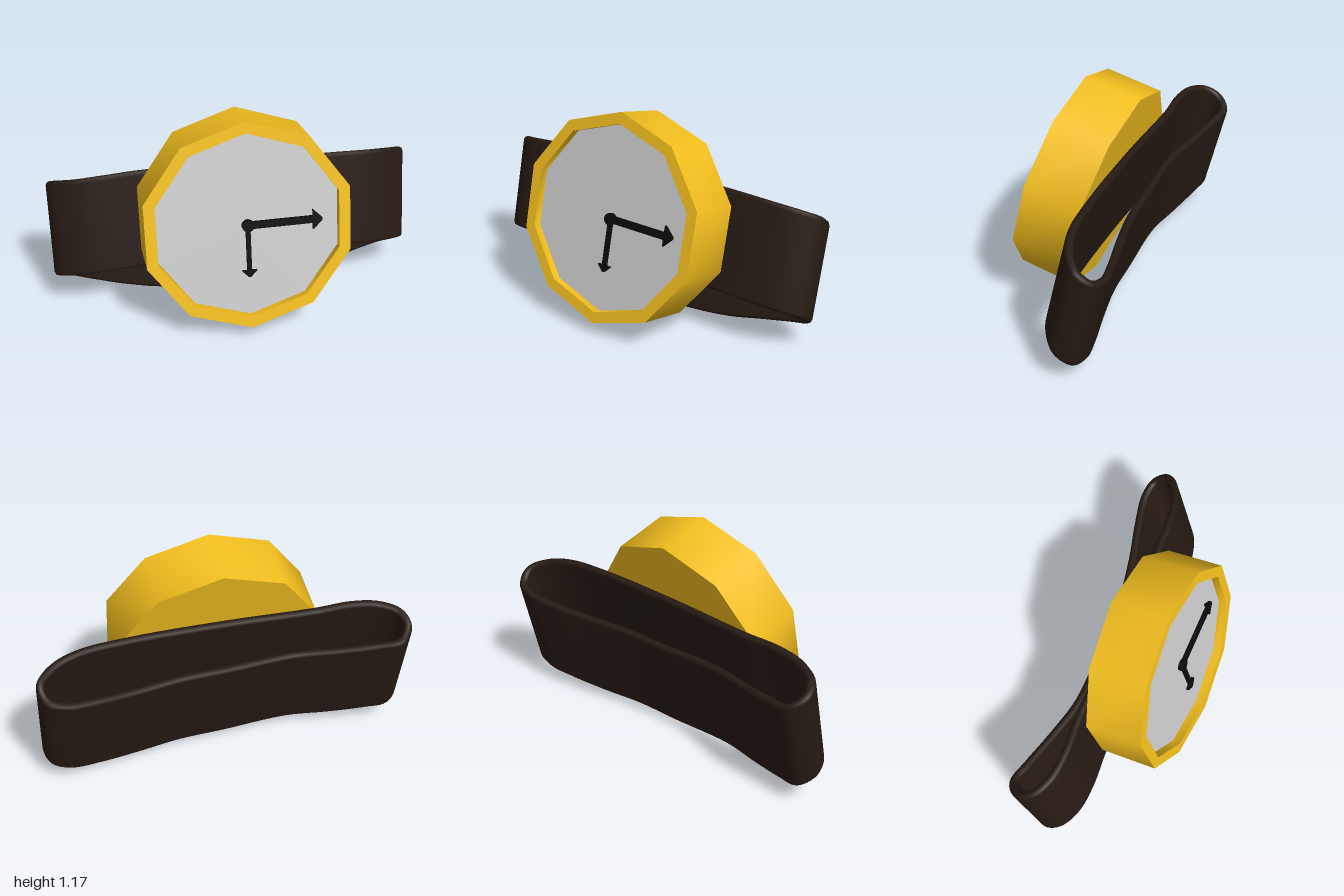
import * as THREE from 'three';
import { toCreasedNormals } from 'three/addons/utils/BufferGeometryUtils.js';

const SIDES = 10, R = 0.565, RIM = 0.503, HALF = 0.156, RECESS = 0.045;
const DIAL_Z = HALF - RECESS;

const gold = new THREE.MeshStandardMaterial({ color: 0xf2be1e });
const grey = new THREE.MeshStandardMaterial({ color: 0xcccccc });
const black = new THREE.MeshStandardMaterial({ color: 0x0a0a0a });
const leather = new THREE.MeshStandardMaterial({ color: 0x261a13 });

function addPart(parent, name, geometry, material) {
  const mesh = new THREE.Mesh(geometry, material);
  mesh.name = name;
  parent.add(mesh);
  return mesh;
}

// Ten-sided case with a recessed front, turned so its axis is z
function caseGeometry() {
  const profile = [[0, -HALF], [R, -HALF], [R, HALF], [RIM, HALF], [RIM, DIAL_Z]]
    .map(([x, y]) => new THREE.Vector2(x, y));
  const g = new THREE.LatheGeometry(profile, SIDES);
  g.rotateX(Math.PI / 2);
  return toCreasedNormals(g, 0.7);
}

// Flat arrow pointing along +x from the hub
function arrowGeometry(length, shaft, headLength, headWidth) {
  const neck = length - headLength;
  const half = [[0, shaft], [neck, shaft], [neck, headWidth], [length - 0.005, 0.006]];
  const points = [...half, ...half.map(([x, y]) => [x, -y]).reverse()];
  const shape = new THREE.Shape(points.map(([x, y]) => new THREE.Vector2(x, y)));
  return new THREE.ExtrudeGeometry(shape, { depth: 0.018, bevelEnabled: false });
}

// Closed band: a rounded section swept round a loop that dips at the back
function strapGeometry() {
  // x, height of the band's middle, z
  const path = [
    [0, -0.015, -0.18], [0.5, -0.015, -0.19], [0.75, -0.025, -0.21], [0.89, -0.04, -0.26],
    [0.97, -0.065, -0.34], [0.95, -0.105, -0.42], [0.86, -0.13, -0.448], [0.7, -0.16, -0.425],
    [0.5, -0.195, -0.38], [0.25, -0.21, -0.335], [0, -0.215, -0.32], [-0.37, -0.205, -0.305],
    [-0.6, -0.18, -0.345], [-0.8, -0.14, -0.385], [-0.92, -0.11, -0.4], [-0.975, -0.075, -0.33],
    [-0.95, -0.05, -0.25], [-0.85, -0.035, -0.192], [-0.7, -0.022, -0.175], [-0.5, -0.015, -0.188],
  ].map((p) => new THREE.Vector3(...p));
  const curve = new THREE.CatmullRomCurve3(path, true);

  // Section: offset across the thickness, offset along the width
  const t = 0.022, w = 0.272, steps = 4, section = [];
  for (const [side, start] of [[1, 0], [-1, Math.PI]]) {
    for (let i = 0; i <= steps; i++) {
      const a = start + (i / steps) * Math.PI;
      section.push([t * Math.cos(a), side * (w - t) + t * Math.sin(a)]);
    }
  }

  const rings = 120, n = section.length, positions = [], index = [];
  for (let i = 0; i < rings; i++) {
    const p = curve.getPoint(i / rings), tan = curve.getTangent(i / rings);
    const out = new THREE.Vector2(-tan.z, tan.x).normalize();
    section.forEach(([o, h], j) => {
      positions.push(p.x + out.x * o, p.y + h, p.z + out.y * o);
      const k = (j + 1) % n, next = ((i + 1) % rings) * n;
      const a = i * n + j, b = i * n + k, c = next + k, d = next + j;
      index.push(a, b, d, b, c, d);
    });
  }
  const g = new THREE.BufferGeometry();
  g.setAttribute('position', new THREE.Float32BufferAttribute(positions, 3));
  g.setIndex(index);
  g.computeVertexNormals();
  return g;
}

export function createModel() {
  const model = new THREE.Group();
  model.name = 'wristwatch';

  // Everything leans back together
  const watch = new THREE.Group();
  watch.name = 'watch';
  watch.position.set(0, 0.587, 0.105);
  watch.rotation.x = THREE.MathUtils.degToRad(-13);
  model.add(watch);

  const head = new THREE.Group();
  head.name = 'watchHead';
  head.position.x = 0.012;
  watch.add(head);

  addPart(head, 'case', caseGeometry(), gold);
  addPart(head, 'dial', new THREE.CircleGeometry(RIM, SIDES, Math.PI / 2), grey).position.z = DIAL_Z;

  // Hands and hub
  const minute = addPart(head, 'minuteHand', arrowGeometry(0.4, 0.019, 0.055, 0.055), black);
  minute.position.z = DIAL_Z;
  const hour = addPart(head, 'hourHand', arrowGeometry(0.29, 0.012, 0.04, 0.04), black);
  hour.rotation.z = -Math.PI / 2;
  hour.position.z = DIAL_Z;
  const hub = addPart(head, 'hub', new THREE.CylinderGeometry(0.032, 0.032, 0.026, 16), black);
  hub.rotation.x = Math.PI / 2;
  hub.position.z = DIAL_Z + 0.013;

  // Strap behind the case
  const strapMaterial = leather.clone();
  strapMaterial.side = THREE.DoubleSide;
  const strap = strapGeometry();
  // Turn the faces outward if the sweep left them inside out
  const pos = strap.attributes.position, idx = strap.index.array;
  const [a, b, c] = [0, 1, 2].map(() => new THREE.Vector3());
  let volume = 0;
  for (let i = 0; i < idx.length; i += 3) {
    [a, b, c].forEach((v, k) => v.fromBufferAttribute(pos, idx[i + k]));
    volume += a.dot(b.cross(c));
  }
  if (volume < 0) {
    for (let i = 0; i < idx.length; i += 3) [idx[i], idx[i + 1]] = [idx[i + 1], idx[i]];
    strap.computeVertexNormals();
  }
  addPart(watch, 'strap', strap, strapMaterial);

  return model;
}
